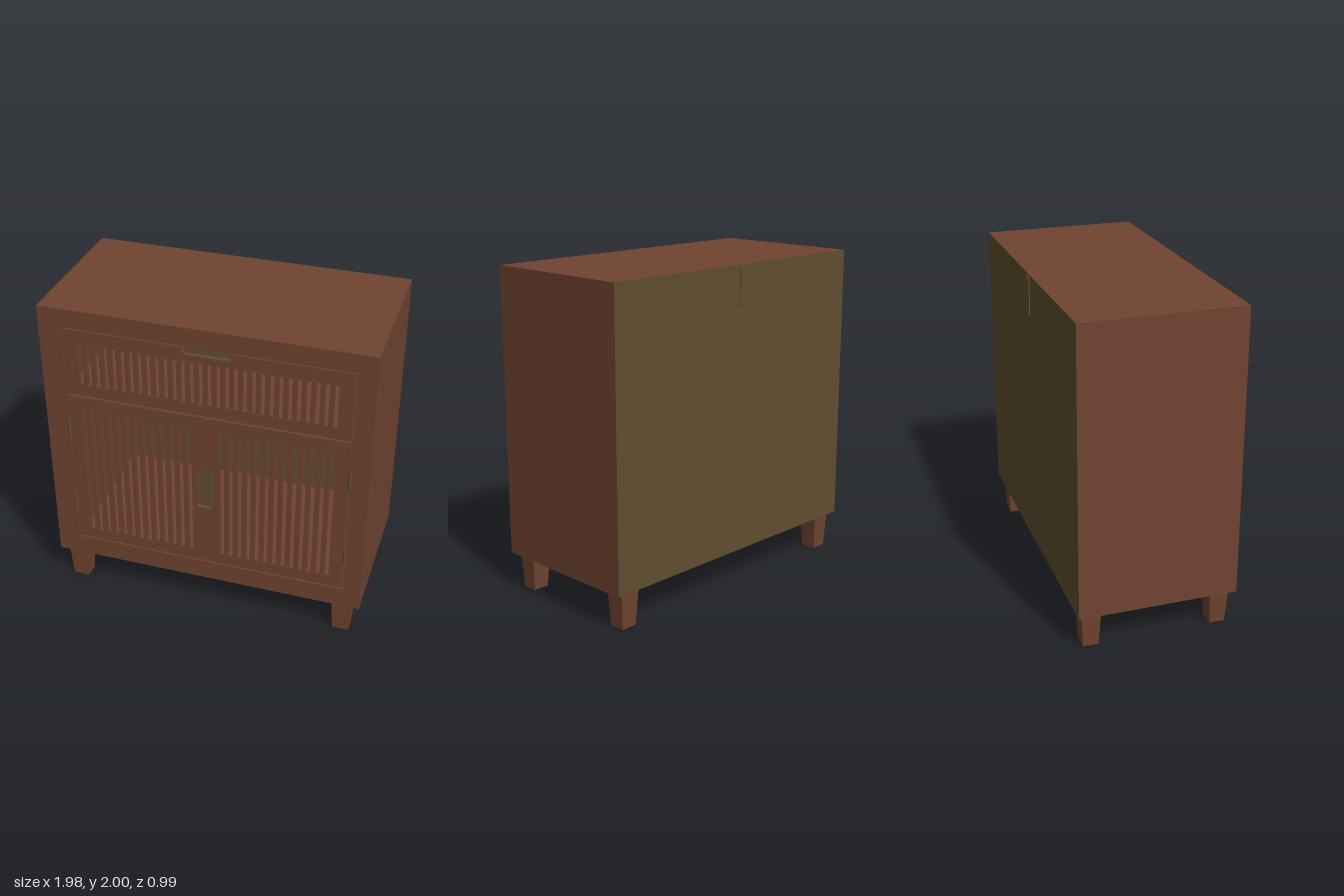
import * as THREE from 'three';

const FRONT = 0.487; // z of the cabinet front

export function createModel() {
  const wood = new THREE.MeshStandardMaterial({ color: 0x704330 });
  wood.name = 'reddish wood';
  const olive = new THREE.MeshStandardMaterial({ color: 0x614e30 });
  olive.name = 'olive brown';

  const model = new THREE.Group();
  model.name = 'cabinet';

  const add = (name, geometry, material, x = 0, y = 0, z = 0) => {
    const mesh = new THREE.Mesh(geometry, material);
    mesh.name = name;
    mesh.position.set(x, y, z);
    model.add(mesh);
    return mesh;
  };
  // Box given by its limits on each axis
  const box = (name, material, x0, x1, y0, y1, z0, z1) =>
    add(name, new THREE.BoxGeometry(x1 - x0, y1 - y0, z1 - z0), material,
      (x0 + x1) / 2, (y0 + y1) / 2, (z0 + z1) / 2);
  const outline = (pts) => new THREE.Shape(pts.map(([x, y]) => new THREE.Vector2(x, y)));
  const rect = (x0, x1, y0, y1) => outline([[x0, y0], [x1, y0], [x1, y1], [x0, y1]]);
  // Flat board whose front lies at z = front
  const board = (name, shape, depth, front = FRONT, material = wood) =>
    add(name, new THREE.ExtrudeGeometry(shape, { depth, bevelEnabled: false }), material, 0, 0, front - depth);
  // Evenly spaced upright slots, starting and ending with a slot
  const cutSlots = (shape, count, x0, x1, y0, y1) => {
    const w = (x1 - x0) / (2 * count - 1);
    for (let i = 0; i < count; i++) {
      const x = x0 + 2 * i * w;
      shape.holes.push(rect(x, x + w, y0, y1));
    }
  };

  // Carcass: one hollow body, open at the front
  const L = -0.85, R = 0.88, B = 0.36, T = 1.883;
  const shell = rect(-0.992, 0.992, 0.236, 2);
  shell.holes.push(rect(L, R, B, T));
  board('carcass', shell, 0.966);
  box('backPanel', olive, -0.992, 0.992, 0.232, 2, -FRONT, -0.479);
  box('bottomPanel', olive, -0.992, 0.992, 0.23, 0.236, -0.479, FRONT);
  box('drawerShelf', wood, L, R, 1.425, 1.443, -0.479, FRONT - 0.03);

  // Drawer front with a finger notch in its top edge
  const g = 0.007, t = 0.025;
  const drawer = outline([
    [L + g, 1.44], [R - g, 1.44], [R - g, T - g], [0.175, T - g], [0.163, 1.826],
    [-0.108, 1.826], [-0.12, T - g], [L + g, T - g],
  ]);
  cutSlots(drawer, 30, -0.757, 0.787, 1.52, 1.787);
  board('drawerFront', drawer, t);
  box('drawerHandleRecess', olive, -0.13, 0.185, 1.81, T - g, FRONT - t - 0.008, FRONT - t);
  box('drawerHandleLip', olive, -0.107, 0.162, 1.826, 1.832, FRONT - t, FRONT - 0.002);

  // Two doors sharing a grip cut at the centre
  const mid = 0.01;
  for (const side of [-1, 1]) {
    const inner = mid + side * 0.004, grip = mid + side * 0.05;
    const outer = side < 0 ? L + g : R - g;
    const door = outline([
      [outer, 0.37], [inner, 0.37], [inner, 0.773], [mid + side * 0.02, 0.773], [grip, 0.79],
      [grip, 1.06], [mid + side * 0.02, 1.075], [inner, 1.075], [inner, 1.43], [outer, 1.43],
    ]);
    if (side < 0) cutSlots(door, 13, -0.762, -0.073, 0.449, 1.352);
    else cutSlots(door, 13, 0.1, 0.79, 0.449, 1.352);
    board(side < 0 ? 'rightDoor' : 'leftDoor', door, t);

    // Hinges
    const hx = side < 0 ? L : R;
    for (const y of side < 0 ? [0.629, 1.185] : [0.619, 1.166]) {
      const hinge = new THREE.CylinderGeometry(0.009, 0.009, 0.138, 10);
      add('hinge', hinge, olive, hx, y, FRONT);
    }
  }
  box('doorHandleRecess', olive, -0.05, 0.07, 0.76, 1.09, FRONT - t - 0.008, FRONT - t);
  box('doorHandleLedge', olive, -0.018, 0.038, 0.774, 0.782, FRONT - t, FRONT - 0.002);

  // Wall strap on the back
  box('wallStrap', olive, -0.06, 0.002, 1.75, 1.985, -0.493, -FRONT);
  for (const y of [1.765, 1.97]) {
    const screw = add('strapScrew', new THREE.CylinderGeometry(0.01, 0.01, 0.004, 12), olive, -0.029, y, -0.495);
    screw.rotation.x = Math.PI / 2;
  }

  // Tapered square legs
  for (const sx of [-1, 1]) for (const sz of [-1, 1]) {
    const leg = new THREE.BoxGeometry(0.13, 0.23, 0.122);
    const p = leg.attributes.position;
    for (let i = 0; i < p.count; i++) {
      if (p.getY(i) < 0) p.setXYZ(i, p.getX(i) * 0.79, p.getY(i), p.getZ(i) * 0.79);
    }
    leg.computeVertexNormals();
    add(sz > 0 ? 'frontLeg' : 'backLeg', leg, wood, sx * 0.878, 0.115, sz * 0.398);
  }
  return model;
}
